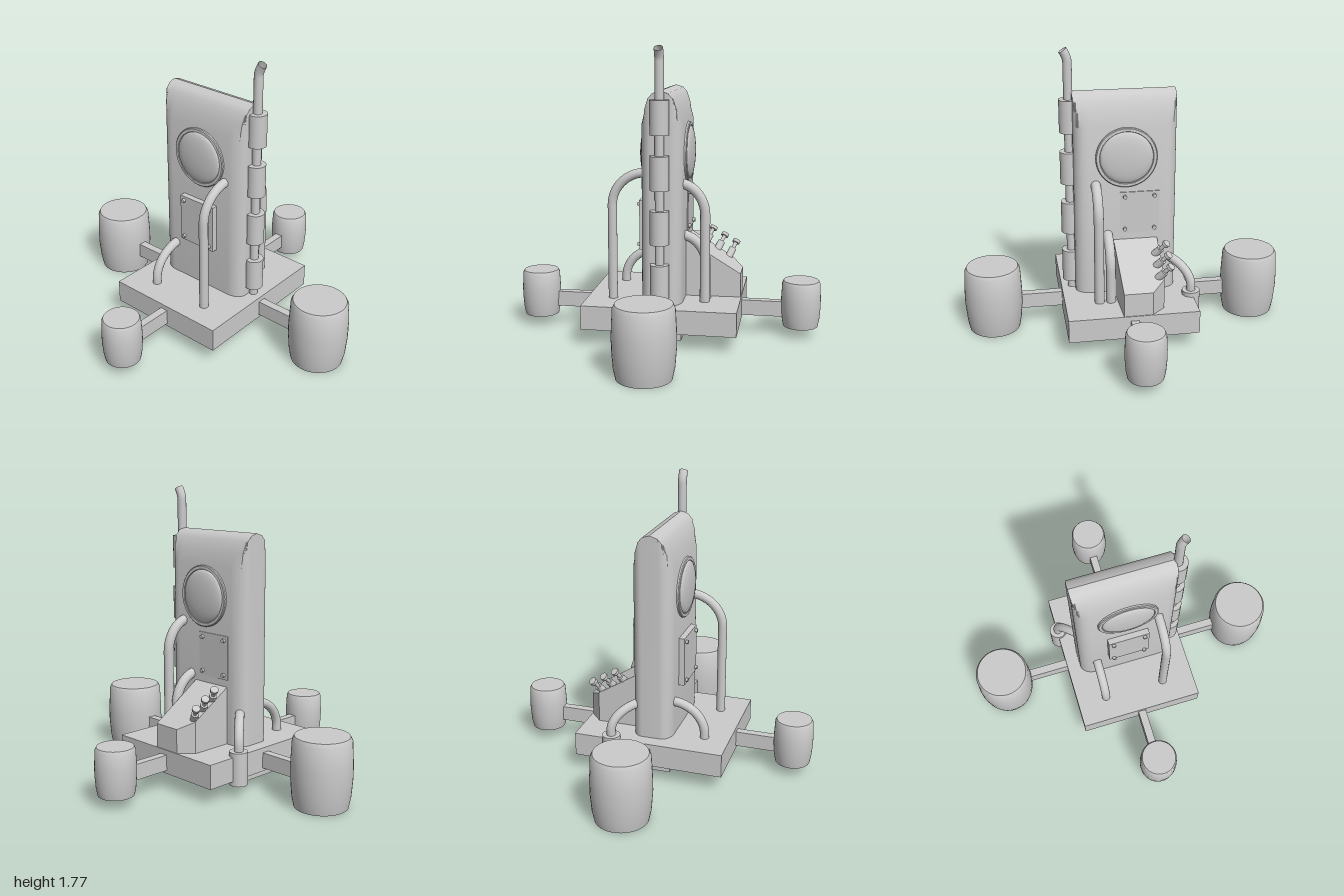
import * as THREE from 'three';
import { toCreasedNormals } from 'three/addons/utils/BufferGeometryUtils.js';
import { ConvexGeometry } from 'three/addons/geometries/ConvexGeometry.js';

const grey = new THREE.MeshStandardMaterial({ color: 0xcccccc });
const greyDouble = new THREE.MeshStandardMaterial({ color: 0xcccccc, side: THREE.DoubleSide });
const V = (x, y, z) => new THREE.Vector3(x, y, z);

export function createModel() {
  const model = new THREE.Group();

  const add = (name, geometry, parent = model, material = grey) => {
    const mesh = new THREE.Mesh(geometry, material);
    mesh.name = name;
    parent.add(mesh);
    return mesh;
  };
  // box given by its minimum and maximum corners
  const box = (name, [x0, y0, z0], [x1, y1, z1]) => {
    const mesh = add(name, new THREE.BoxGeometry(x1 - x0, y1 - y0, z1 - z0));
    mesh.position.set((x0 + x1) / 2, (y0 + y1) / 2, (z0 + z1) / 2);
    return mesh;
  };
  // cylinder running from point a to point b
  const rod = (name, a, b, radius, parent = model, sides = 24) => {
    const mesh = add(name, new THREE.CylinderGeometry(radius, radius, a.distanceTo(b), sides), parent);
    mesh.position.copy(a).add(b).multiplyScalar(0.5);
    mesh.quaternion.setFromUnitVectors(V(0, 1, 0), b.clone().sub(a).normalize());
    return mesh;
  };
  // pipe rising from its foot, then bending over a quarter ellipse to its end
  const bentPipe = (name, foot, bendY, end, radius) => {
    const start = V(foot.x, bendY, foot.z);
    const c1 = V(foot.x, bendY + (end.y - bendY) * 0.55, foot.z);
    const c2 = end.clone().lerp(V(foot.x, end.y, foot.z), 0.55);
    const path = new THREE.CurvePath();
    if (bendY !== foot.y) path.add(new THREE.LineCurve3(foot, start));
    path.add(new THREE.CubicBezierCurve3(start, c1, c2, end));
    add(name, new THREE.TubeGeometry(path, 48, radius, 16), model, greyDouble);
  };

  // base slab and keel
  box('base', [-0.465, 0.1, -0.395], [0.46, 0.245, 0.395]);
  box('keel', [-0.13, 0.045, -0.34], [0.13, 0.1, 0.34]);

  // arms and hollow barrel feet
  const foot = (name, r, y0, h, x, z) => {
    const profile = [
      [0, h - 0.03], [r * 0.86, h - 0.03], [r * 0.92, h * 0.4], [r * 0.82, 0], [r * 0.88, 0],
      [r * 0.95, h * 0.15], [r, h * 0.42], [r, h * 0.6], [r * 0.96, h * 0.94], [r * 0.89, h], [0, h],
    ].map(([px, py]) => new THREE.Vector2(px, py));
    const geometry = toCreasedNormals(new THREE.LatheGeometry(profile, 40), 0.5);
    add(name, geometry, model, greyDouble).position.set(x, y0, z);
  };
  for (const s of [-1, 1]) {
    box('sideArm', [s > 0 ? 0.45 : -0.72, 0.12, -0.025], [s > 0 ? 0.72 : -0.45, 0.215, 0.025]);
    box('endArm', [-0.025, 0.12, s > 0 ? 0.38 : -0.68], [0.025, 0.215, s > 0 ? 0.68 : -0.38]);
    foot('sideFoot', 0.12, 0.065, 0.285, s * 0.82, 0);
    foot('endFoot', 0.178, 0, 0.415, 0, s * 0.822);
  }

  // tower: rounded plan, pinched toward a ridge at the top
  const corner = [];
  for (let i = 0; i <= 12; i++) {
    const a = (i / 12) * Math.PI / 2;
    corner.push([0.055 + 0.067 * Math.cos(a), -0.22 - 0.09 * Math.sin(a)]);
  }
  const half = [...corner, ...corner.map(([x, z]) => [-x, z]).reverse()];
  const plan = [...half, ...half.map(([x, z]) => [-x, -z])];
  const levels = [[0.24, 0.122], [1.31, 0.122], [1.4, 0.094], [1.465, 0.073], [1.495, 0.045], [1.51, 0]];
  const positions = [];
  const indices = [];
  const n = plan.length;
  levels.forEach(([y, w], j) => plan.forEach(([x, z], i) => {
    positions.push(THREE.MathUtils.clamp(x, -w, w), y, z);
    if (j === levels.length - 1) return;
    const a = j * n + i, b = j * n + (i + 1) % n;
    indices.push(a, b, b + n, a, b + n, a + n);
  }));
  const towerGeometry = new THREE.BufferGeometry();
  towerGeometry.setAttribute('position', new THREE.Float32BufferAttribute(positions, 3));
  towerGeometry.setIndex(indices);
  add('tower', toCreasedNormals(towerGeometry, 0.5));

  // domed port with a rim on each side of the tower
  const portProfile = [[0.185, 0], [0.185, 0.014], [0.18, 0.019], [0.163, 0.019]];
  for (let i = 0; i <= 8; i++) {
    const a = (i / 8) * Math.PI / 2;
    portProfile.push([0.16 * Math.cos(a), 0.014 + 0.03 * Math.sin(a)]);
  }
  const portGeometry = toCreasedNormals(
    new THREE.LatheGeometry(portProfile.map(([r, h]) => new THREE.Vector2(r, h)), 48), 0.6);
  for (const s of [-1, 1]) {
    const port = add('port', portGeometry, model, greyDouble);
    port.rotation.z = -s * Math.PI / 2;
    port.position.set(s * 0.118, 1.125, 0);
  }

  // bolted plates
  const plate = (name, side, depth, y0, y1, z0, z1) => {
    const xa = side * 0.11, xb = side * (0.122 + depth);
    box(name, [Math.min(xa, xb), y0, z0], [Math.max(xa, xb), y1, z1]);
    for (const y of [y0 + 0.028, y1 - 0.028])
      for (const z of [z0 + 0.03, z1 - 0.03])
        rod('bolt', V(xb, y, z), V(xb + side * 0.016, y, z), 0.012, model, 12);
  };
  plate('rightPlate', 1, 0.006, 0.64, 0.905, -0.2, 0.04);
  plate('leftPlate', -1, 0.036, 0.535, 0.84, -0.13, 0.13);

  // exhaust stack with collars and a bent open tip
  const stack = new THREE.CurvePath();
  stack.add(new THREE.LineCurve3(V(0, 0.24, 0.328), V(0, 1.68, 0.328)));
  stack.add(new THREE.QuadraticBezierCurve3(V(0, 1.68, 0.328), V(0, 1.71, 0.328), V(0, 1.752, 0.354)));
  add('stack', new THREE.TubeGeometry(stack, 100, 0.027, 20), model, greyDouble);
  for (let i = 0; i < 4; i++)
    rod('stackCollar', V(0, 0.3 + i * 0.32, 0.328), V(0, 0.5 + i * 0.32, 0.328), 0.057);

  // side pipes
  bentPipe('tallLeftPipe', V(-0.31, 0.24, 0.19), 0.82, V(-0.1, 1.02, 0.19), 0.028);
  bentPipe('lowLeftPipe', V(-0.31, 0.24, -0.205), 0.27, V(-0.1, 0.46, -0.205), 0.028);
  bentPipe('tallRightPipe', V(0.25, 0.24, 0.185), 0.77, V(0.09, 0.96, 0.185), 0.03);
  bentPipe('lowRightPipe', V(0.25, 0.24, 0.115), 0.45, V(0.09, 0.635, 0.115), 0.03);
  bentPipe('underPipe', V(-0.27, 0.13, -0.3), 0.13, V(-0.1, 0.075, -0.3), 0.02);

  // canister with its feed pipe
  rod('canister', V(0.225, 0.072, -0.388), V(0.225, 0.272, -0.388), 0.055);
  bentPipe('canisterPipe', V(0.225, 0.26, -0.388), 0.3, V(0.06, 0.45, -0.24), 0.028);

  // sloped console with a chamfered rear corner
  const consolePoints = [];
  for (const [x, z] of [[0.1, 0.08], [0.455, 0.065], [0.455, -0.11], [0.38, -0.19], [0.1, -0.19]])
    consolePoints.push(V(x, 0.24, z), V(x, 0.39 + (0.455 - x) * 0.62, z));
  add('console', new ConvexGeometry(consolePoints));

  // levers on the console
  for (let i = 0; i < 3; i++) {
    const lever = new THREE.Group();
    lever.name = 'lever';
    model.add(lever);
    const tip = V(0.26 + i * 0.073, 0.615 - i * 0.042, -0.225);
    const base = tip.clone().sub(V(0.06, 0.12, -0.09));
    const at = (t) => base.clone().lerp(tip, t);
    rod('leverSleeve', at(0), at(0.62), 0.023, lever, 16);
    rod('leverStem', at(0.6), at(0.92), 0.012, lever, 12);
    rod('leverKnob', at(0.88), at(1), 0.024, lever, 16);
  }

  return model;
}
